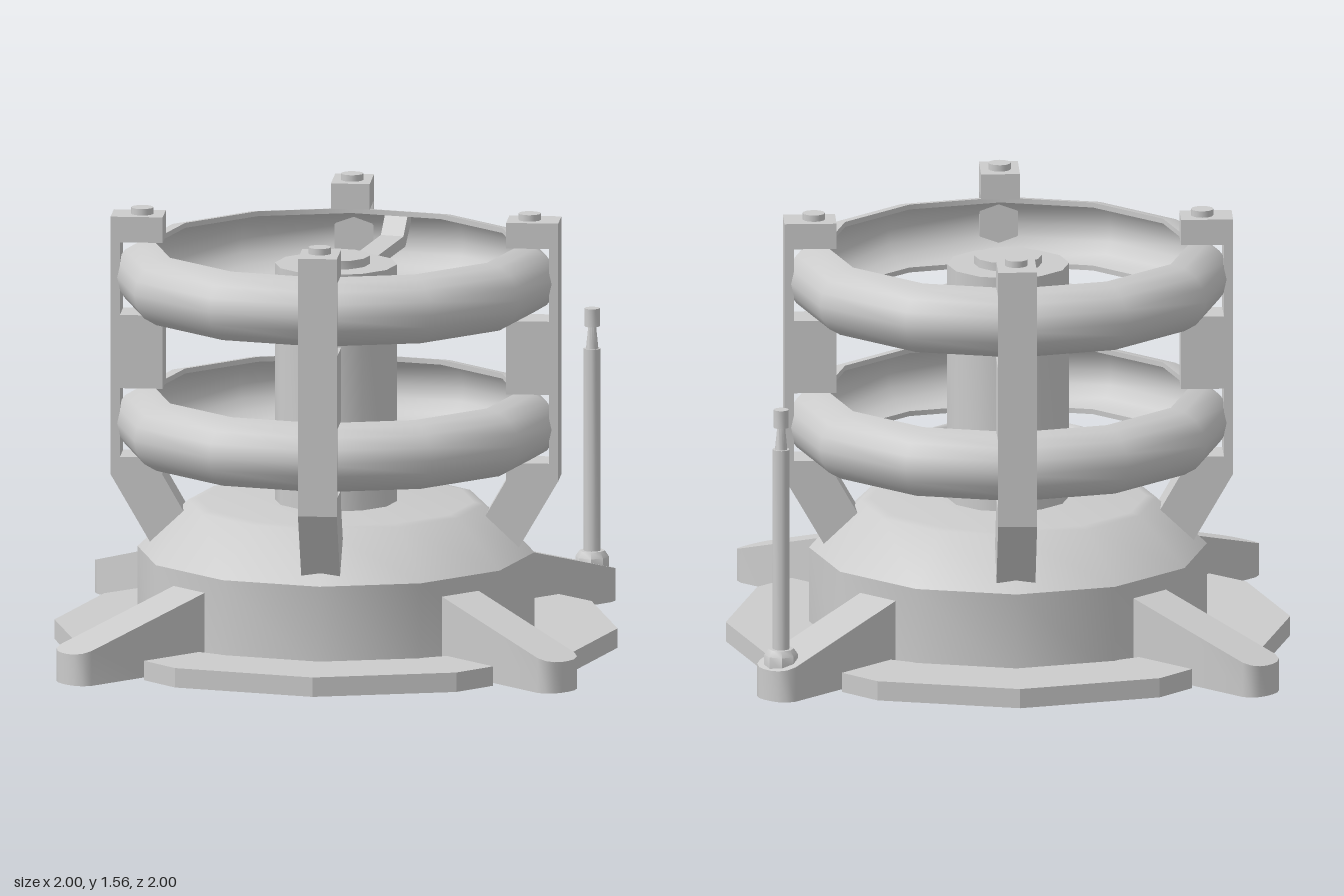
import * as THREE from 'three';
import { toCreasedNormals } from 'three/addons/utils/BufferGeometryUtils.js';

const SIDES = 12;

export function createModel() {
  const model = new THREE.Group();
  const material = new THREE.MeshStandardMaterial({ color: 0xcccccc });
  const openMaterial = new THREE.MeshStandardMaterial({ color: 0xcccccc, side: THREE.DoubleSide });

  function add(name, geometry, parent = model, mat = material) {
    const mesh = new THREE.Mesh(geometry, mat);
    mesh.name = name;
    parent.add(mesh);
    return mesh;
  }

  function group(name, angle = 0, parent = model) {
    const g = new THREE.Group();
    g.name = name;
    g.rotation.y = angle;
    parent.add(g);
    return g;
  }

  // Profiles run bottom to top along the outside, as [radius, y]
  const lathe = (points, sides = SIDES) =>
    new THREE.LatheGeometry(points.map(([r, y]) => new THREE.Vector2(r, y)), sides);

  // Smooth around the axis, sharp at the steps of the profile
  const turned = (points, sides = SIDES) => toCreasedNormals(lathe(points, sides), 0.7);

  const polygon = (points) => new THREE.Shape(points.map(([x, y]) => new THREE.Vector2(x, y)));

  // Side profile in (radius, y), given a width across z
  const slab = (points, width) =>
    new THREE.ExtrudeGeometry(polygon(points), { depth: width, bevelEnabled: false })
      .translate(0, 0, -width / 2);

  // Domed base: hollow below, with a hub and a groove around its middle disc
  add('base', turned([
    [0, 0.13], [0.32, 0.13], [0.325, 0.17], [0.36, 0.17], [0.365, 0.14], [0.485, 0.14],
    [0.485, 0.32], [0.675, 0.32], [0.675, 0.01], [0.705, 0.01], [0.705, 0.34],
    [0.525, 0.51], [0.49, 0.517], [0, 0.517],
  ]));

  // Central column with its cap
  add('column', turned([[0.217, 0.5], [0.217, 1.37], [0, 1.37]]));
  add('columnCap', turned([[0.12, 1.36], [0.12, 1.4], [0, 1.4]]));

  // Ground plate in four sections, with a slot at each arm
  const side = [[0.866, 0.5], [0.74, 0.62], [0.56, 0.44], [0.606, 0.35]];
  const outline = [
    [1, 0], ...side, [0.7, 0],
    ...side.map(([x, z]) => [x, -z]).reverse(),
  ];
  for (let i = 0; i < 4; i++) {
    const plate = new THREE.ExtrudeGeometry(polygon(outline), { depth: 0.07, bevelEnabled: false })
      .rotateX(-Math.PI / 2);
    add('groundPlate', plate, group('plateSection', i * Math.PI / 2));
  }

  // Stabilizer arms: sloped top and rounded tip, hollow below where they cross the plate
  const armTop = (r) => 0.28 - 0.275 * (r - 0.68);
  const armRoof = (r) => armTop(r) - 0.03;
  const ground = () => 0.01;
  function armPiece(points, bottom) {
    const g = new THREE.ExtrudeGeometry(polygon(points), { depth: 1, bevelEnabled: false })
      .rotateX(-Math.PI / 2);
    const p = g.attributes.position;
    for (let i = 0; i < p.count; i++) {
      const rule = p.getY(i) > 0.5 ? armTop : bottom;
      p.setY(i, rule(p.getX(i)));
    }
    g.computeVertexNormals();
    return toCreasedNormals(g, 0.7);
  }
  const strip = (r0, r1, z0, z1) => [[r0, z0], [r1, z0], [r1, z1], [r0, z1]];
  const w = 0.085;
  const tipSide = [[0.966, w], [1.205, w], [1.235, 0.072], [1.252, 0.045], [1.258, 0.015]];
  const tip = [...tipSide.map(([r, z]) => [r, -z]), ...tipSide.reverse()];
  for (let i = 0; i < 4; i++) {
    const arm = group('arm', Math.PI / 4 + i * Math.PI / 2);
    add('armTip', armPiece(tip, ground), arm);
    add('armRoof', armPiece(strip(0.64, 0.966, -w, w), armRoof), arm);
    add('armWall', armPiece(strip(0.64, 0.966, -w, 0.012 - w), ground), arm);
    add('armWall', armPiece(strip(0.64, 0.966, w - 0.012, w), ground), arm);
  }

  // Two large rings: half-round channels open towards the column, each with a thin inner ring
  const channel = [];
  for (let i = 0; i <= 8; i++) {
    const a = -Math.PI / 2 + i * Math.PI / 8;
    channel.push([0.65 + 0.14 * Math.cos(a), 0.124 * Math.sin(a)]);
  }
  for (const [y, innerY] of [[0.795, 0.71], [1.32, 1.222]]) {
    const ring = group('ringLevel');
    add('largeRing', lathe(channel).translate(0, y, 0), ring, openMaterial);
    for (const edge of [-0.124, 0.106]) {
      add('ringLip', lathe([[0.65, edge], [0.65, edge + 0.018]]).translate(0, y, 0), ring, openMaterial);
    }
    add('innerRing', new THREE.TorusGeometry(0.298, 0.026, 8, SIDES)
      .rotateX(Math.PI / 2).translate(0, innerY, 0), ring);
  }

  // Bar linking the column to the upper ring
  add('linkBar', slab([
    [0.19, 1.292], [0.61, 1.322], [0.67, 1.402], [0.67, 1.432], [0.635, 1.432],
    [0.59, 1.362], [0.19, 1.332],
  ], 0.085), group('link', 1.31));

  // Uprights: notched for both rings, with a leg kicked in to the dome
  const upright = [
    [0.795, 0.61], [0.795, 1.539], [0.61, 1.539], [0.61, 1.447], [0.762, 1.447], [0.762, 1.185],
    [0.61, 1.185], [0.61, 0.921], [0.762, 0.921], [0.762, 0.673], [0.61, 0.673], [0.61, 0.61],
    [0.53, 0.47], [0.65, 0.36],
  ];
  for (let i = 0; i < 4; i++) {
    const post = group('upright', i * Math.PI / 2);
    add('uprightFrame', slab(upright, 0.138), post);
    add('uprightBolt', new THREE.CylinderGeometry(0.04, 0.04, 0.03, 12).translate(0.688, 1.547, 0), post);
  }

  // Antenna mast on the back left arm
  const mast = group('antenna');
  mast.position.set(0.84, 0, -0.84);
  add('antennaFoot', turned([[0.06, 0.12], [0.06, 0.165], [0.045, 0.187], [0, 0.187]], 8), mast);
  add('antennaRod', turned([[0.03, 0.17], [0.03, 0.915], [0.022, 0.915], [0.014, 0.995]]), mast);
  add('antennaTip', turned([[0, 0.995], [0.027, 0.995], [0.027, 1.06], [0, 1.06]]), mast);

  return model;
}
